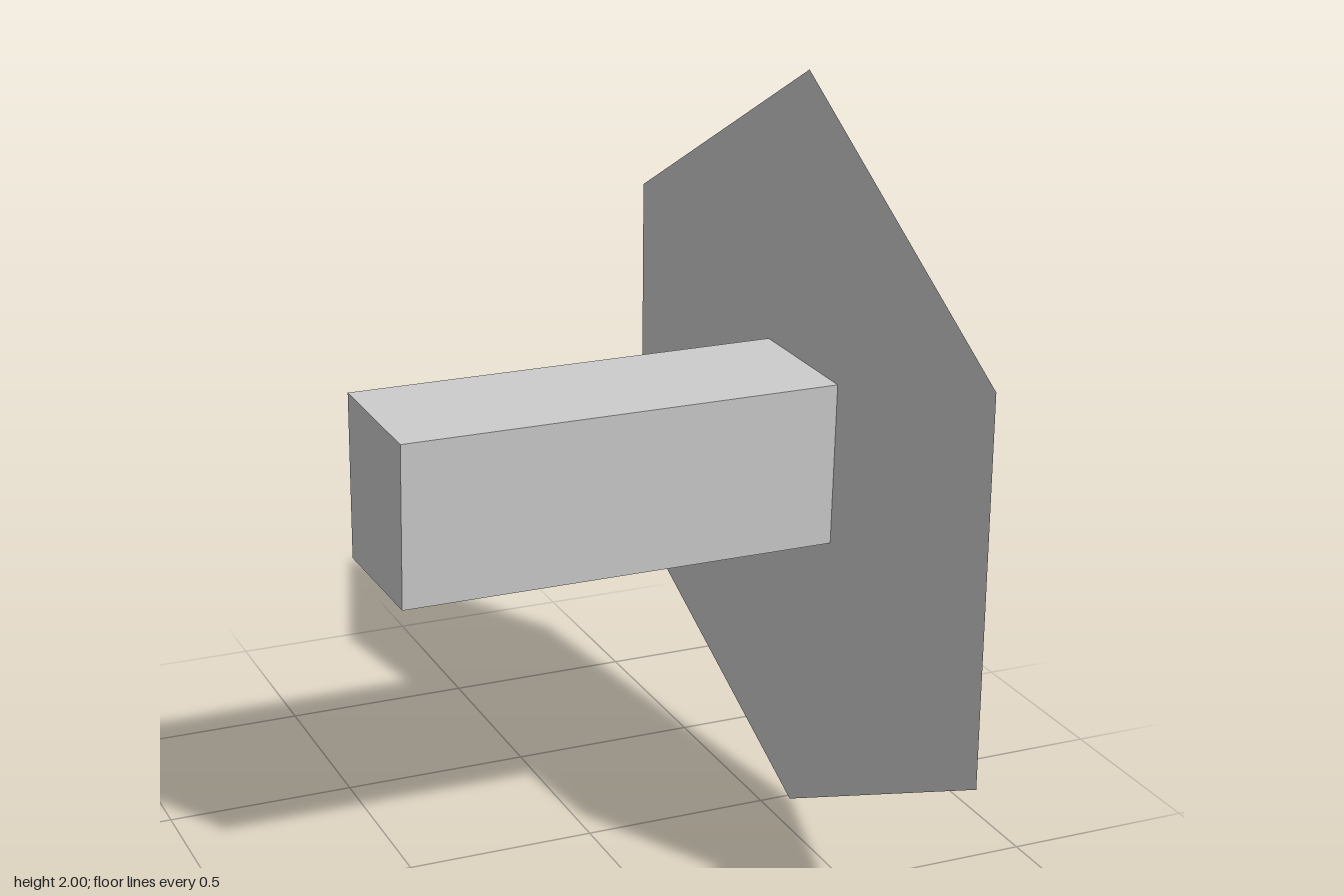
import * as THREE from 'three';

const HALF_LENGTH = 0.577;

// Outline given as [z, y] pairs; the quarter turn about y sends shape x to -z and depth to +x
function outline(points) {
  return new THREE.Shape(points.map(([z, y]) => new THREE.Vector2(-z, y)));
}

function addPart(group, name, geometry, x, side) {
  geometry.rotateY(Math.PI / 2);
  const material = new THREE.MeshStandardMaterial({ color: 0xcccccc, flatShading: true, side });
  const mesh = new THREE.Mesh(geometry, material);
  mesh.name = name;
  mesh.position.x = x;
  group.add(mesh);
}

export function createModel() {
  const group = new THREE.Group();
  group.name = 'hexagonPlateWithBar';

  // Paper-thin hexagonal plate closing the +x end of the bar
  const hexagon = outline([
    [0.025, 2], [0.99, 1.46], [0.99, 0.47],
    [0.02, 0], [-0.99, 0.445], [-0.99, 1.465],
  ]);
  addPart(group, 'hexagonPlate', new THREE.ShapeGeometry(hexagon), HALF_LENGTH, THREE.DoubleSide);

  // Slightly uneven four-sided bar running along x
  const section = outline([[0.225, 1.242], [0.21, 0.812], [-0.17, 0.808], [-0.17, 1.248]]);
  const bar = new THREE.ExtrudeGeometry(section, { depth: 2 * HALF_LENGTH, bevelEnabled: false });
  addPart(group, 'bar', bar, -HALF_LENGTH, THREE.FrontSide);

  return group;
}
